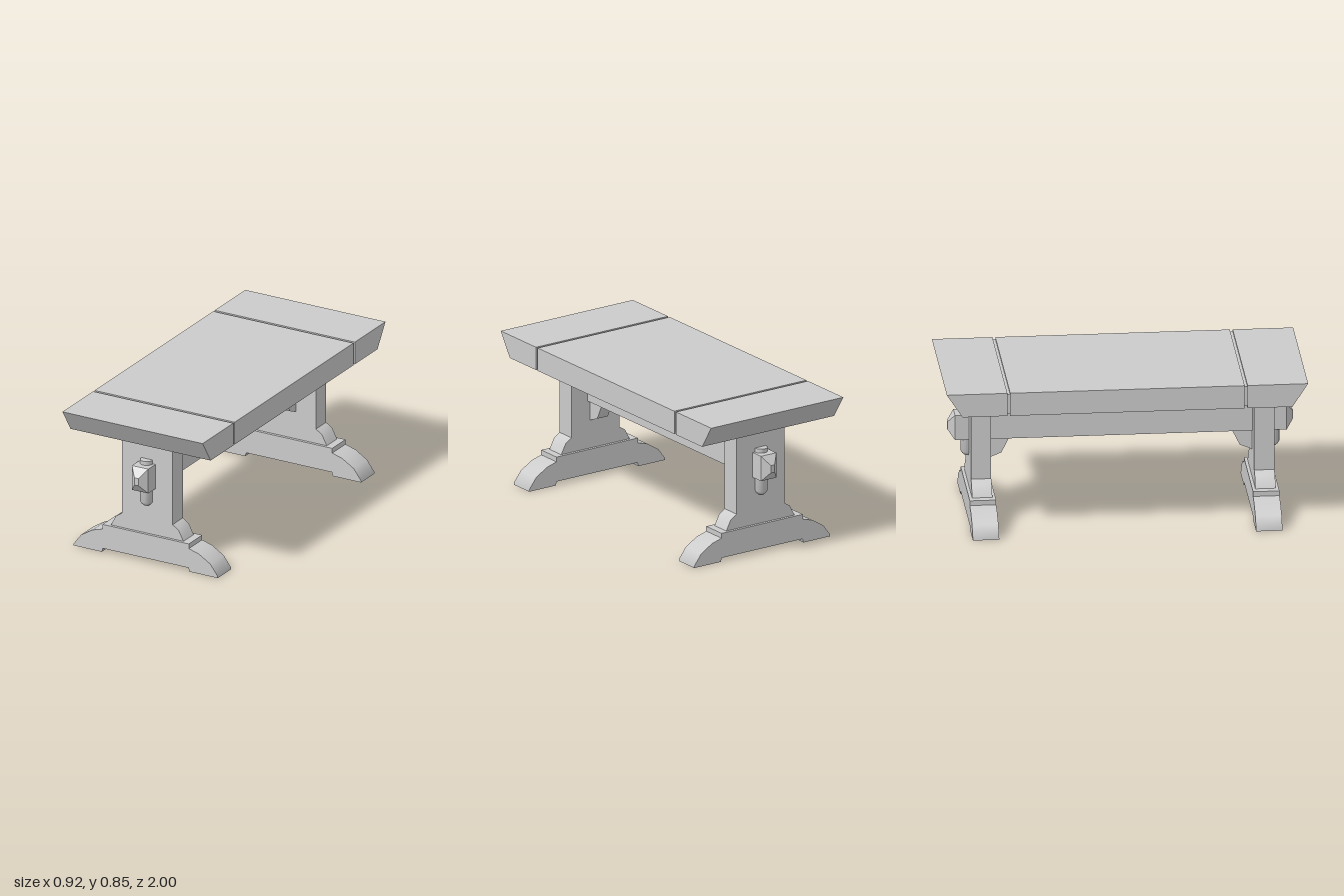
import * as THREE from 'three';
import { toCreasedNormals } from 'three/addons/utils/BufferGeometryUtils.js';

const material = new THREE.MeshStandardMaterial({ color: 0xcccccc });

function add(parent, name, geometry, x = 0, y = 0, z = 0) {
  const mesh = new THREE.Mesh(geometry, material);
  mesh.name = name;
  mesh.position.set(x, y, z);
  parent.add(mesh);
  return mesh;
}

// Extrude a 2D outline, centred on its thickness
function slab(points, thickness) {
  const shape = new THREE.Shape(points.map(([x, y]) => new THREE.Vector2(x, y)));
  const geometry = new THREE.ExtrudeGeometry(shape, { depth: thickness, bevelEnabled: false });
  geometry.translate(0, 0, -thickness / 2);
  return toCreasedNormals(geometry, 0.7);
}

// Outline given as (z, y), extruded along x
const sideSlab = (points, width) => slab(points, width).rotateY(-Math.PI / 2);

// Complete a right-hand half outline (bottom to top) with its mirror image
const mirrored = (half) => [...half, ...half.map(([x, y]) => [-x, y]).reverse()];

// Long beam whose ends taper to small rectangles
function beamGeometry() {
  const geometry = new THREE.BoxGeometry(2, 2, 3, 1, 1, 3);
  const p = geometry.attributes.position;
  for (let i = 0; i < p.count; i++) {
    const tip = Math.abs(p.getZ(i)) > 1;
    p.setXYZ(i,
      p.getX(i) * (tip ? 0.013 : 0.052),
      p.getY(i) * (tip ? 0.0215 : 0.0725),
      Math.sign(p.getZ(i)) * (tip ? 0.957 : 0.918));
  }
  const flat = geometry.toNonIndexed();
  flat.computeVertexNormals();
  return flat;
}

// Trestle at the +z end, with its foot, wedge and bracket
function makeTrestle() {
  const trestle = new THREE.Group();
  const z = 0.784;

  add(trestle, 'foot', slab(mirrored([
    [0.273, 0.022], [0.28, 0], [0.46, 0], [0.46, 0.01], [0.413, 0.073],
    [0.34, 0.118], [0.275, 0.137], [0.275, 0.165],
  ]), 0.146), 0, 0, z);

  add(trestle, 'post', slab(mirrored([
    [0.231, 0.165], [0.2, 0.225], [0.162, 0.25], [0.162, 0.722],
  ]), 0.112), 0, 0, z);

  // Brace that cradles the beam on the inner side
  add(trestle, 'bracket', sideSlab([
    [0.735, 0.325], [0.735, 0.71], [0.66, 0.675], [0.617, 0.587],
    [0.617, 0.442], [0.66, 0.355],
  ], 0.072));

  // Round-ended peg locking the beam outside the post
  const profile = [[0, 0.334], [0.016, 0.338], [0.028, 0.348], [0.036, 0.361], [0.036, 0.61], [0, 0.61]];
  const peg = new THREE.LatheGeometry(profile.map(([r, y]) => new THREE.Vector2(r, y)), 24);
  add(trestle, 'peg', toCreasedNormals(peg, 0.7), 0, 0, 0.846);

  // End board of the top with an undercut outer edge
  add(trestle, 'endBoard', sideSlab([
    [0.665, 0.721], [0.913, 0.721], [1, 0.854], [0.665, 0.854],
  ], 0.894));

  // Recessed strip at the bottom of the joint groove
  add(trestle, 'jointStrip', new THREE.BoxGeometry(0.876, 0.115, 0.04), 0, 0.7875, 0.657);
  return trestle;
}

export function createModel() {
  const model = new THREE.Group();
  model.name = 'trestleTable';

  add(model, 'tabletop', new THREE.BoxGeometry(0.894, 0.133, 1.298), 0, 0.7875, 0);
  add(model, 'stretcherBeam', beamGeometry(), 0, 0.5145, 0);

  ['frontTrestle', 'backTrestle'].forEach((name, i) => {
    const trestle = makeTrestle();
    trestle.name = name;
    trestle.rotation.y = i * Math.PI;
    model.add(trestle);
  });
  return model;
}
